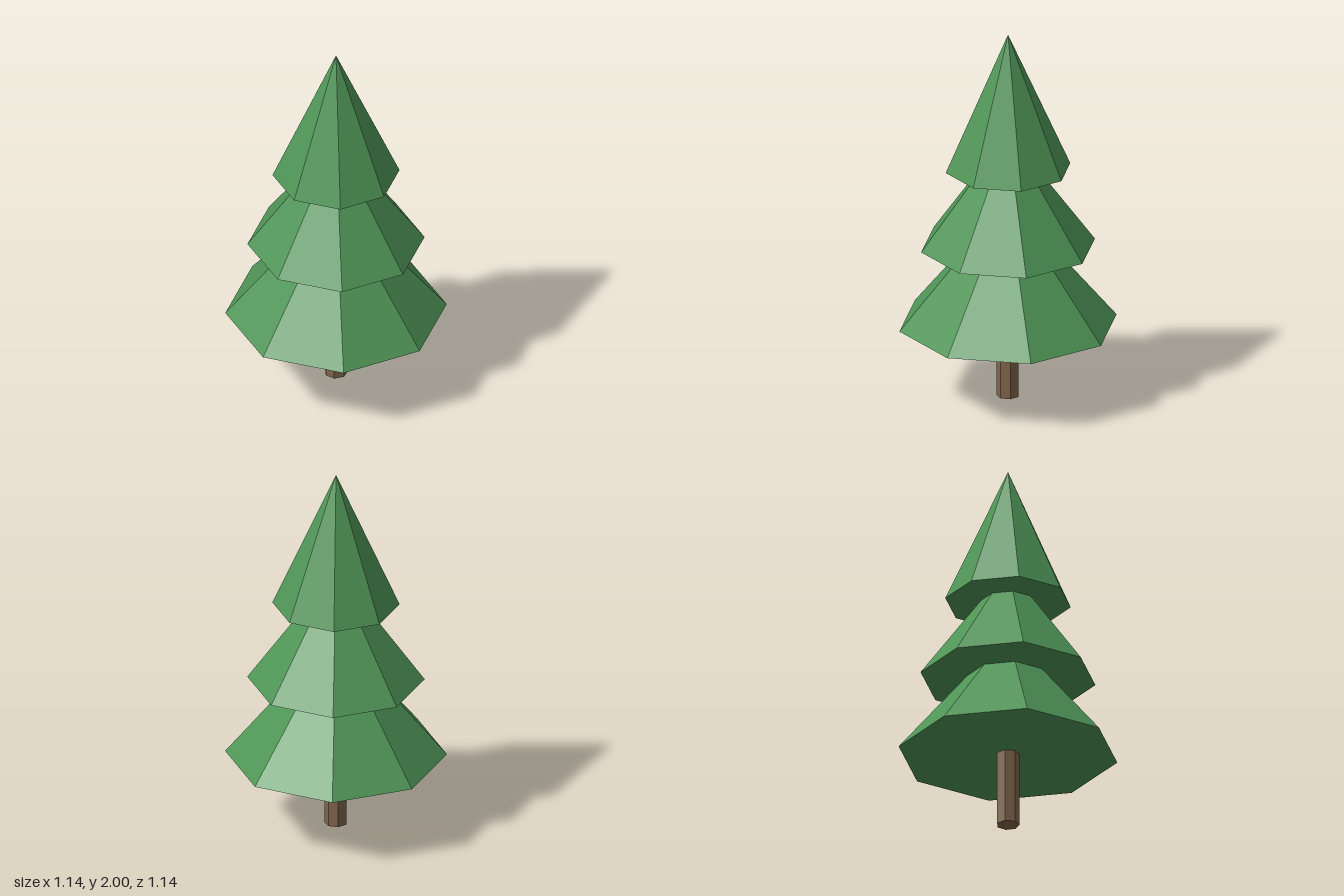
import * as THREE from 'three';

export function createModel() {
  const tree = new THREE.Group();
  tree.name = 'pineTree';

  const foliage = new THREE.MeshStandardMaterial({ color: 0x4f9557, flatShading: true });
  foliage.name = 'foliage green';
  const bark = new THREE.MeshStandardMaterial({ color: 0x80654a, flatShading: true });
  bark.name = 'bark brown';

  // Seven-sided trunk with one edge facing +x, its top hidden in the lowest tier
  const trunkHeight = 0.46;
  const trunk = new THREE.Mesh(new THREE.CylinderGeometry(0.06, 0.06, trunkHeight, 7), bark);
  trunk.name = 'trunk';
  trunk.rotation.y = Math.PI / 2;
  trunk.position.y = trunkHeight / 2;
  tree.add(trunk);

  // Three overlapping eight-sided cones
  const tiers = [
    { name: 'lowerBranches', base: 0.4, radius: 0.57, height: 0.685 },
    { name: 'middleBranches', base: 0.83, radius: 0.456, height: 0.625 },
    { name: 'upperBranches', base: 1.26, radius: 0.327, height: 0.74 },
  ];
  for (const { name, base, radius, height } of tiers) {
    const tier = new THREE.Mesh(new THREE.ConeGeometry(radius, height, 8), foliage);
    tier.name = name;
    tier.position.y = base + height / 2;
    tree.add(tier);
  }

  return tree;
}
